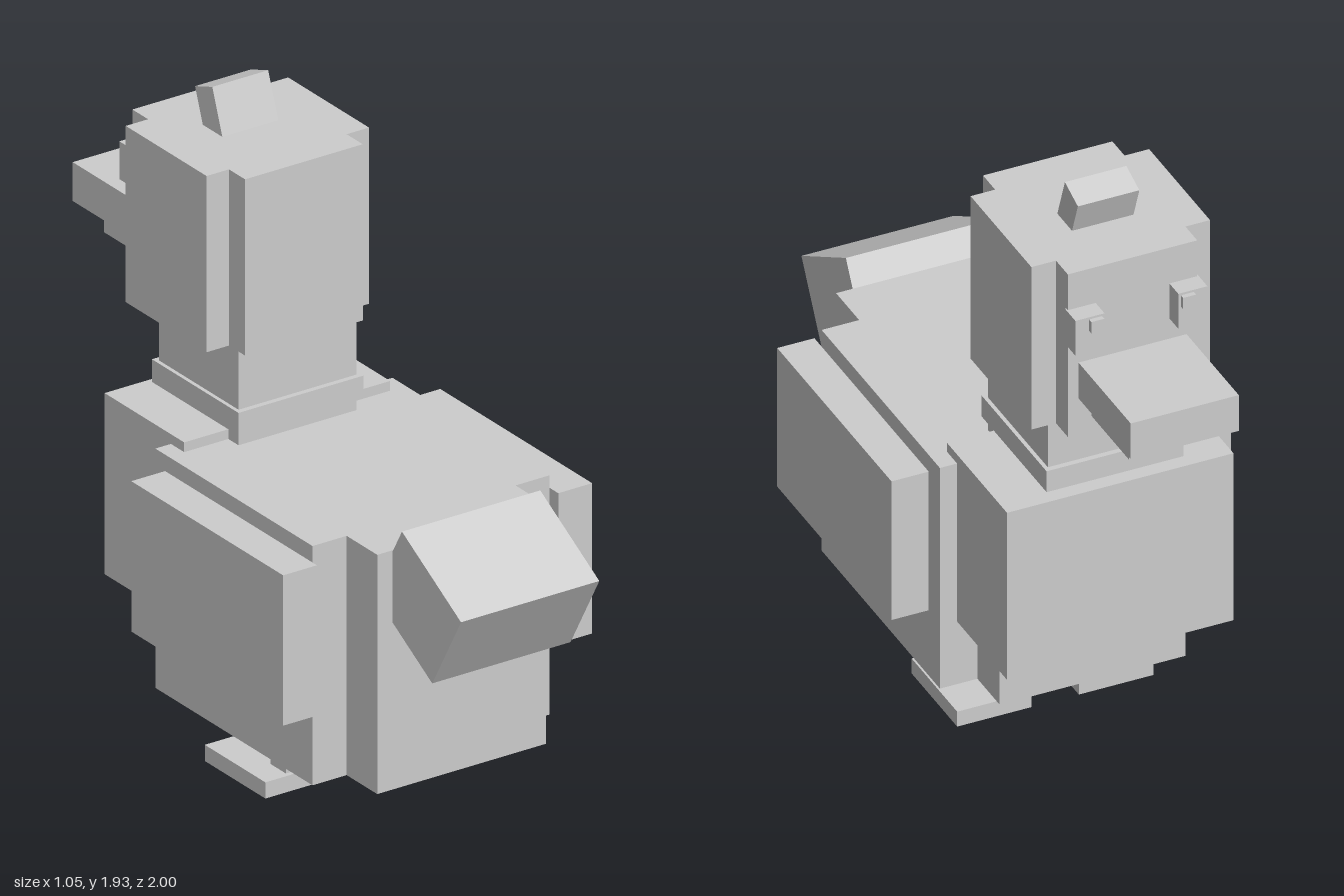
import * as THREE from 'three';

export function createModel() {
  const model = new THREE.Group();
  model.name = 'blockBird';
  const grey = new THREE.MeshStandardMaterial({ color: 0xcccccc });
  grey.name = 'plainGrey';

  const add = (name, geometry) => {
    const mesh = new THREE.Mesh(geometry, grey);
    mesh.name = name;
    model.add(mesh);
    return mesh;
  };

  // Box given by its limits on each axis
  const box = (name, [x0, x1], [y0, y1], [z0, z1]) =>
    add(name, new THREE.BoxGeometry(x1 - x0, y1 - y0, z1 - z0))
      .position.set((x0 + x1) / 2, (y0 + y1) / 2, (z0 + z1) / 2);

  // Centred box, tilted about x
  const tilted = (name, size, y, z, degrees) => {
    const mesh = add(name, new THREE.BoxGeometry(...size));
    mesh.position.set(0, y, z);
    mesh.rotation.x = THREE.MathUtils.degToRad(degrees);
  };

  // Upright block with notched corners: a wide short and a narrow long rectangle merged
  const notched = (name, wide, narrow, [y0, y1], [wz0, wz1], [nz0, nz1]) => {
    const half = [[narrow, nz0], [narrow, wz0], [wide, wz0], [wide, wz1], [narrow, wz1], [narrow, nz1]];
    const mirrored = half.map(([x, z]) => [-x, z]).reverse();
    const shape = new THREE.Shape([...half, ...mirrored].map(([x, z]) => new THREE.Vector2(x, z)));
    const geometry = new THREE.ExtrudeGeometry(shape, { depth: y1 - y0, bevelEnabled: false });
    geometry.rotateX(Math.PI / 2);
    add(name, geometry).position.y = y1;
  };

  // Torso and tail
  notched('body', 0.403, 0.287, [0.215, 0.955], [-0.255, 0.515], [-0.4, 0.665]);
  box('chest', [-0.35, 0.35], [0.425, 0.985], [-0.58, -0.19]);
  tilted('tail', [0.47, 0.282, 0.334], 0.825, 0.785, 30);

  // Neck and head
  box('neck', [-0.2, 0.2], [0.9, 1.25], [-0.53, -0.14]);
  box('collar', [-0.212, 0.212], [0.995, 1.065], [-0.547, -0.123]);
  notched('head', 0.276, 0.2, [1.245, 1.79], [-0.583, -0.187], [-0.66, -0.108]);
  tilted('crest', [0.19, 0.2, 0.09], 1.816, -0.428, -20);

  // Beak
  box('upperBeak', [-0.167, 0.167], [1.365, 1.485], [-1, -0.65]);
  box('lowerBeak', [-0.127, 0.127], [1.295, 1.365], [-0.905, -0.65]);

  // Paired parts
  for (const [side, s] of [['left', 1], ['right', -1]]) {
    const pair = (name, [a, b], y, z) => box(side + name, s > 0 ? [a, b] : [-b, -a], y, z);
    pair('Wing', [0.41, 0.525], [0.445, 0.91], [-0.197, 0.547]);
    pair('Leg', [0.149, 0.223], [0.04, 0.23], [0.05, 0.125]);
    pair('Foot', [0.073, 0.303], [0, 0.05], [-0.157, 0.14]);
    pair('Eye', [0.114, 0.204], [1.553, 1.67], [-0.718, -0.65]);
    pair('Pupil', [0.122, 0.162], [1.625, 1.663], [-0.733, -0.71]);
  }
  return model;
}
